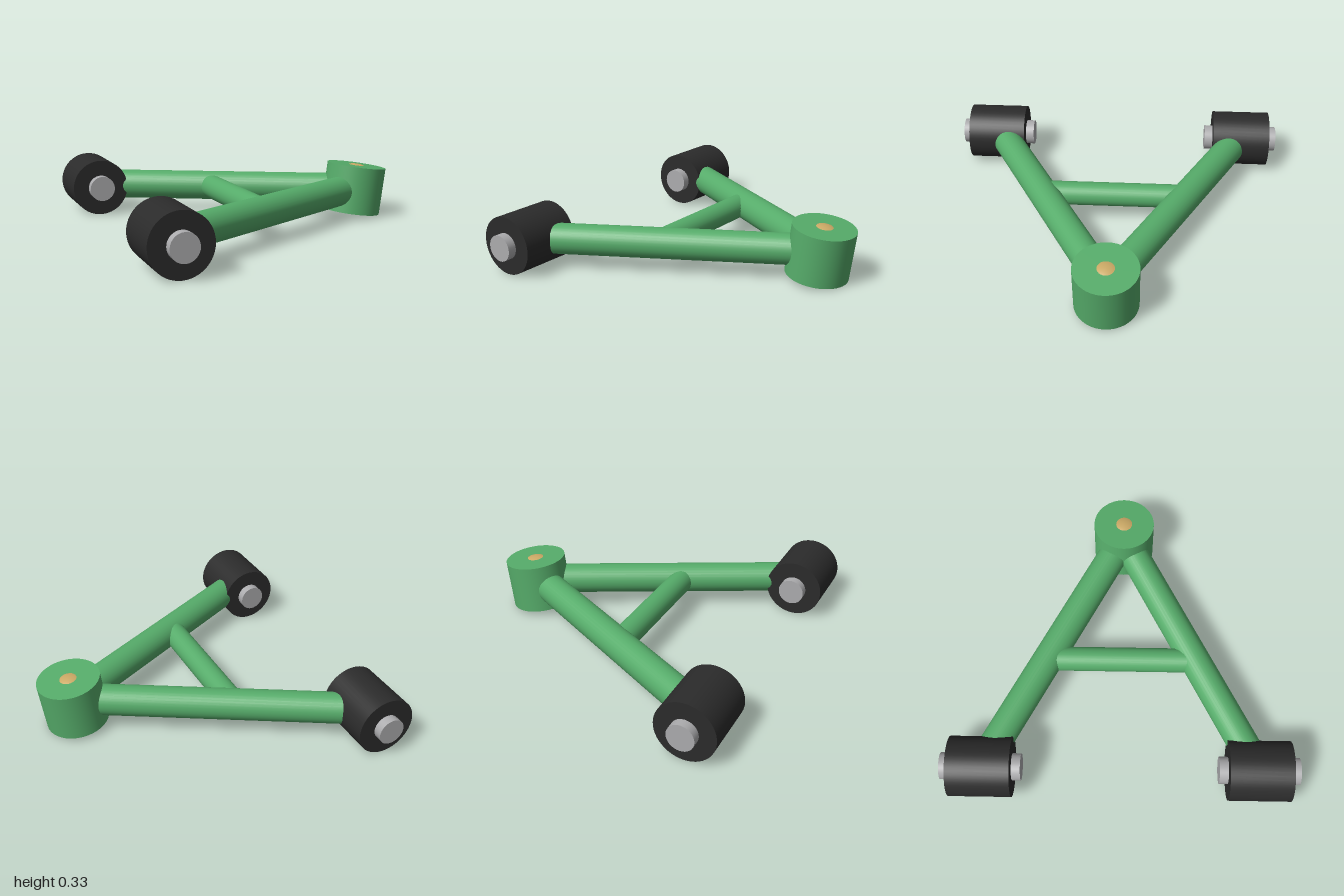
import * as THREE from 'three';

export function createModel() {
  const model = new THREE.Group();
  model.name = 'controlArm';

  const material = (name, color) => {
    const m = new THREE.MeshStandardMaterial({ color });
    m.name = name;
    return m;
  };
  const green = material('green paint', 0x56ac6a);
  const rubber = material('black rubber', 0x2b2b2b);
  const steel = material('grey steel', 0xacacae);
  const brass = material('brass', 0xccaa66);

  const Y = 0.17; // height of every axis
  const up = new THREE.Vector3(0, 1, 0);

  // Cylinder running between two points
  function rod(name, a, b, radius, mat, sides = 32) {
    const dir = b.clone().sub(a);
    const mesh = new THREE.Mesh(new THREE.CylinderGeometry(radius, radius, dir.length(), sides), mat);
    mesh.name = name;
    mesh.position.copy(a).add(b).multiplyScalar(0.5);
    mesh.quaternion.setFromUnitVectors(up, dir.normalize());
    model.add(mesh);
  }
  const at = (x, z) => new THREE.Vector3(x, Y, z);

  // Pivot bushings, their pins and the two arms, mirrored front to back
  for (const [side, s] of [['front', 1], ['rear', -1]]) {
    rod(side + 'Bushing', at(-0.733, s * 0.6), at(-0.733, s * 0.95), 0.167, rubber, 48);
    rod(side + 'Pin', at(-0.733, s * 0.55), at(-0.733, s * 1.0), 0.075, steel);
    rod(side + 'Arm', at(-0.733, s * 0.775), at(0.7, 0), 0.088, green);
  }

  // Brace between the arms
  rod('crossBrace', at(-0.09, -0.427), at(-0.09, 0.427), 0.07, green);

  // Tilted housing with the ball showing through both caps
  const joint = new THREE.Group();
  joint.name = 'ballJoint';
  joint.position.set(0.7, Y, 0);
  joint.rotation.z = -0.14;
  const housing = new THREE.Mesh(new THREE.CylinderGeometry(0.178, 0.178, 0.283, 48), green);
  housing.name = 'housing';
  const ball = new THREE.Mesh(new THREE.SphereGeometry(0.15, 24, 16), brass);
  ball.name = 'ball';
  joint.add(housing, ball);
  model.add(joint);

  return model;
}
